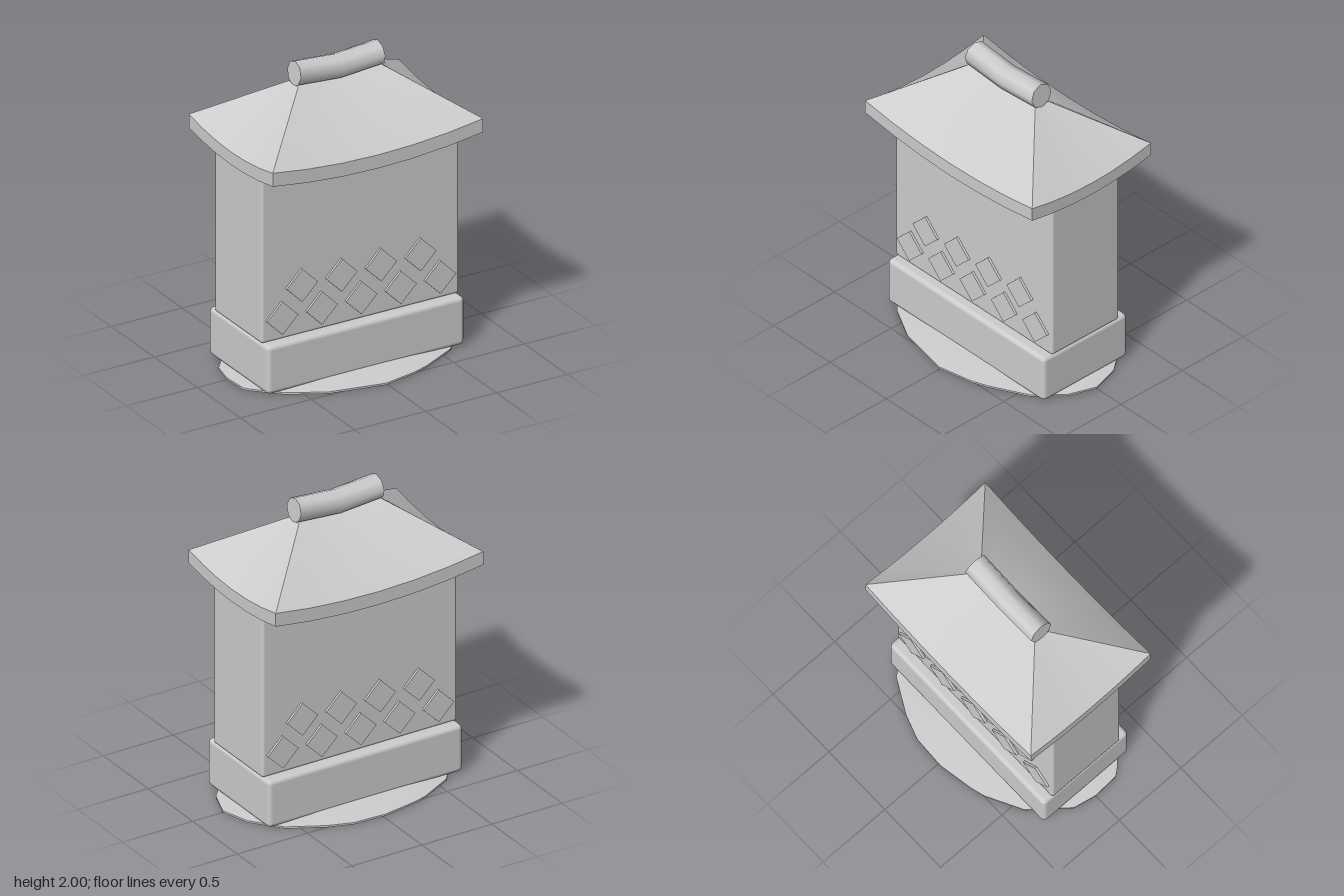
import * as THREE from 'three';
import { toCreasedNormals } from 'three/addons/utils/BufferGeometryUtils.js';
import { RoundedBoxGeometry } from 'three/addons/geometries/RoundedBoxGeometry.js';

const V = (x, y, z) => new THREE.Vector3(x, y, z);

// Skin a stack of closed rings (all with the same number of points)
function loft(rings, crease) {
  const n = rings[0].length, pos = [];
  const tri = (a, b, c) => {
    if (a.equals(b) || b.equals(c) || a.equals(c)) return;
    for (const p of [a, b, c]) pos.push(p.x, p.y, p.z);
  };
  for (let r = 0; r < rings.length - 1; r++) {
    for (let i = 0; i < n; i++) {
      const j = (i + 1) % n;
      const a = rings[r][i], b = rings[r][j], c = rings[r + 1][j], d = rings[r + 1][i];
      tri(a, b, c);
      tri(a, c, d);
    }
  }
  const g = new THREE.BufferGeometry();
  g.setAttribute('position', new THREE.Float32BufferAttribute(pos, 3));
  return toCreasedNormals(g, crease);
}

const point = (n, x, y, z) => Array.from({ length: n }, () => V(x, y, z));

// Rectangle whose long and short edges sag towards their middles
function saggingRing(hx, hz, y, sagX, sagZ, steps = 6) {
  const cx = -0.016, cz = -0.012, out = [];
  const corners = [[-1, 1], [1, 1], [1, -1], [-1, -1]];
  corners.forEach(([ax, az], s) => {
    const [bx, bz] = corners[(s + 1) % 4];
    for (let i = 0; i < steps; i++) {
      const t = i / steps, bow = 4 * t * (1 - t);
      out.push(V(cx + hx * (ax + (bx - ax) * t), y - bow * (s % 2 ? sagZ : sagX),
        cz + hz * (az + (bz - az) * t)));
    }
  });
  return out;
}

export function createModel() {
  const model = new THREE.Group();
  const stone = new THREE.MeshStandardMaterial({ color: 0xcccccc });
  stone.name = 'grey stone';
  const add = (name, geometry, x = 0, y = 0, z = 0, parent = model) => {
    const mesh = new THREE.Mesh(geometry, stone);
    mesh.name = name;
    mesh.position.set(x, y, z);
    parent.add(mesh);
    return mesh;
  };

  // Uneven ground patch
  const outline = [
    [-0.76, 0.2], [-0.6, 0.36], [-0.37, 0.485], [-0.01, 0.56], [0.22, 0.515], [0.33, 0.475],
    [0.57, 0.35], [0.72, 0.18], [0.785, 0], [0.73, -0.19], [0.58, -0.38], [0.36, -0.5],
    [0.2, -0.555], [-0.02, -0.565], [-0.25, -0.525], [-0.34, -0.5], [-0.57, -0.38],
    [-0.76, -0.15], [-0.79, 0], [-0.78, 0.17],
  ];
  const patch = (s, y) => outline.map(([x, z]) => V(x * s, y, z * s));
  add('groundPatch', loft([
    point(outline.length, 0, 0.004, 0), patch(1, 0), patch(1, 0.012),
    patch(0.75, 0.03), point(outline.length, 0, 0.04, 0),
  ], 0.6));

  // Plinth and wall
  add('plinth', new RoundedBoxGeometry(1.39, 0.32, 0.69, 2, 0.03), -0.015, 0.17, -0.005);
  add('wall', new RoundedBoxGeometry(1.39, 1.12, 0.55, 2, 0.018), -0.015, 0.885, -0.005);

  // Diamond tiles in two staggered rows on both faces
  const tiles = new THREE.Group();
  tiles.name = 'diamondTiles';
  model.add(tiles);
  const side = 0.11 * Math.SQRT2;
  const tile = new THREE.BoxGeometry(side, side, 0.03);
  for (const z of [0.27, -0.28]) {
    for (const [count, y] of [[5, 0.47], [4, 0.655]]) {
      for (let i = 0; i < count; i++) {
        const x = -0.015 + (i - (count - 1) / 2) * 0.278;
        add('diamondTile', tile, x, y, z, tiles).rotation.z = Math.PI / 4;
      }
    }
  }

  // Hipped roof with sagging eaves
  add('roof', loft([
    point(24, -0.016, 1.42, -0.012),
    saggingRing(0.6, 0.22, 1.435, 0.015, 0.01),
    saggingRing(0.741, 0.487, 1.47, 0.06, 0.05),
    saggingRing(0.741, 0.487, 1.56, 0.06, 0.055),
    saggingRing(0.3, 0.055, 1.85, 0.015, 0),
    point(24, -0.016, 1.845, -0.012),
  ], 0.5));

  // Bent ridge roll, ends square to its slope
  const roll = (x, y, lean) => Array.from({ length: 8 }, (_, i) => {
    const a = i / 8 * Math.PI * 2, c = 0.08 * Math.cos(a);
    return V(x + lean * c, y + c, -0.01 + 0.08 * Math.sin(a));
  });
  add('ridgeRoll', loft([
    point(8, -0.312, 1.921, -0.01), roll(-0.312, 1.921, 0.09),
    roll(-0.016, 1.898, 0), roll(0.283, 1.921, -0.09),
    point(8, 0.283, 1.921, -0.01),
  ], 0.9));

  return model;
}
